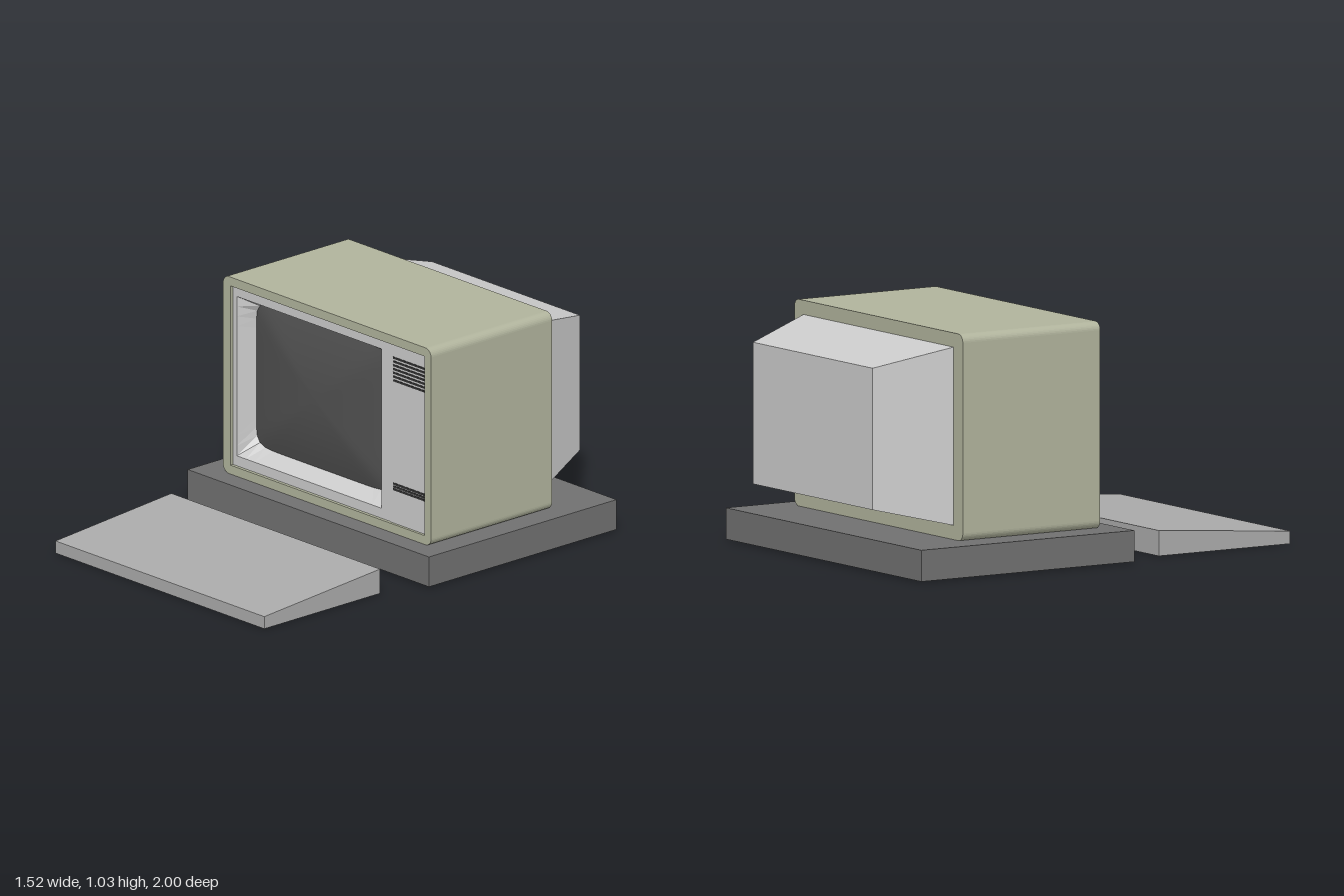
import * as THREE from 'three';

const paint = (color, extra = {}) => new THREE.MeshStandardMaterial({ color, ...extra });

export function createModel() {
  const model = new THREE.Group();
  const olive = paint(0xb0b39c), grey = paint(0xcccccc), dark = paint(0x707070);
  const keyGrey = paint(0xaaaaaa), black = paint(0x333333);

  const add = (name, geometry, material, parent = model) => {
    const mesh = new THREE.Mesh(geometry, material);
    mesh.name = name;
    parent.add(mesh);
    return mesh;
  };

  // Box given by its limits, with an optional rule that moves its corners
  const block = (x0, x1, y0, y1, z0, z1, rule) => {
    const g = new THREE.BoxGeometry(x1 - x0, y1 - y0, z1 - z0);
    g.translate((x0 + x1) / 2, (y0 + y1) / 2, (z0 + z1) / 2);
    if (rule) {
      const p = g.attributes.position, v = new THREE.Vector3();
      for (let i = 0; i < p.count; i++) {
        rule(v.fromBufferAttribute(p, i));
        p.setXYZ(i, v.x, v.y, v.z);
      }
      g.computeVertexNormals();
    }
    return g;
  };

  const rectangle = (Kind, x0, x1, y0, y1, r = 0) => {
    const s = new Kind();
    if (r === 0) {
      s.moveTo(x0, y0).lineTo(x1, y0).lineTo(x1, y1).lineTo(x0, y1).closePath();
      return s;
    }
    s.moveTo(x0 + r, y0);
    s.lineTo(x1 - r, y0).absarc(x1 - r, y0 + r, r, -Math.PI / 2, 0);
    s.lineTo(x1, y1 - r).absarc(x1 - r, y1 - r, r, 0, Math.PI / 2);
    s.lineTo(x0 + r, y1).absarc(x0 + r, y1 - r, r, Math.PI / 2, Math.PI);
    s.lineTo(x0, y0 + r).absarc(x0 + r, y0 + r, r, Math.PI, Math.PI * 1.5);
    return s;
  };

  const extrude = (shape, z0, z1) => new THREE.ExtrudeGeometry(shape, {
    depth: z1 - z0, bevelEnabled: false, curveSegments: 4,
  }).translate(0, 0, z0);

  // Base slab and the wedge-shaped keyboard
  add('base', block(-0.76, 0.76, 0.005, 0.14, -0.955, 0.13), dark);
  add('keyboard', block(-0.645, 0.67, 0, 0.11, 0.33, 1, (v) => {
    if (v.y > 0.05 && v.z > 0.9) v.y = 0.055;
  }), keyGrey);

  // Cabinet: solid body with an open front rim
  const cabinet = new THREE.Group();
  cabinet.name = 'cabinet';
  model.add(cabinet);
  const outline = () => rectangle(THREE.Shape, -0.64, 0.67, 0.14, 1.03, 0.035);
  add('cabinetBody', extrude(outline(), -0.665, -0.1), olive, cabinet);
  const rim = outline();
  rim.holes.push(rectangle(THREE.Path, -0.595, 0.63, 0.18, 0.99));
  add('cabinetRim', extrude(rim, -0.1, 0.035), olive, cabinet);

  // Tapered rear housing
  add('rearHousing', block(-0.57, 0.6, 0.2, 0.97, -1, -0.66, (v) => {
    if (v.z < -0.9) {
      v.x = v.x < 0 ? -0.45 : 0.48;
      v.y = v.y < 0.5 ? 0.28 : 0.89;
    }
  }), grey);

  // Front bezel with the screen opening
  const bezel = rectangle(THREE.Shape, -0.595, 0.63, 0.18, 0.99);
  bezel.holes.push(rectangle(THREE.Path, -0.57, 0.34, 0.225, 0.945));
  add('bezel', extrude(bezel, 0.01, 0.02), grey);
  add('controlPanel', block(0.4, 0.63, 0.18, 0.99, 0.015, 0.023), grey);

  // Points of a unit square boundary, and the same points pulled to rounded corners
  const PER_SIDE = 16;
  const square = [];
  for (let side = 0; side < 4; side++) {
    for (let i = 0; i < PER_SIDE; i++) {
      square.push(new THREE.Vector2(1, -1 + (2 * i) / PER_SIDE)
        .rotateAround(new THREE.Vector2(), (side * Math.PI) / 2));
    }
  }
  const rounded = square.map((q) => q.clone().divideScalar(
    (Math.abs(q.x) ** 12 + Math.abs(q.y) ** 12) ** (1 / 12)));

  // Surface through successive closed rings of points, from outside inwards
  const loft = (rings) => {
    const n = rings[0].length, index = [];
    for (let r = 0; r < rings.length - 1; r++) {
      for (let i = 0; i < n; i++) {
        const a = r * n + i, b = r * n + ((i + 1) % n);
        index.push(a, b, a + n, b, b + n, a + n);
      }
    }
    const g = new THREE.BufferGeometry().setFromPoints(rings.flat());
    g.setIndex(index);
    g.computeVertexNormals();
    return g;
  };
  const ring = (points, cx, cy, hx, hy, z) =>
    points.map((q) => new THREE.Vector3(cx + q.x * hx, cy + q.y * hy, z));

  // Sloping screen surround
  const SCREEN = [-0.1175, 0.5875, 0.4225, 0.3275], RIM_Z = -0.065;
  add('screenSurround', loft([
    ring(square, -0.115, 0.585, 0.455, 0.36, 0.02),
    ring(rounded, ...SCREEN, RIM_Z),
  ]), paint(0xcccccc, { flatShading: true, side: THREE.DoubleSide }));

  // Bulging picture tube
  const rings = [];
  for (let k = 0; k <= 10; k++) {
    const t = 1 - k / 10, [cx, cy, hx, hy] = SCREEN;
    rings.push(ring(rounded, cx, cy, hx * t, hy * t, RIM_Z + 0.05 * (1 - t * t)));
  }
  add('screen', loft(rings), paint(0x505050, { side: THREE.DoubleSide }));

  // Dark slots: speaker grille above, small vent below
  const slots = (name, count, y, step) => {
    const group = new THREE.Group();
    group.name = name;
    model.add(group);
    for (let i = 0; i < count; i++) {
      const c = y + i * step;
      add('slot', block(0.42, 0.615, c - 0.0045, c + 0.0045, 0.018, 0.025), black, group);
    }
  };
  slots('speakerGrille', 7, 0.825, 0.017);
  slots('lowerVent', 3, 0.333, 0.0125);

  return model;
}
